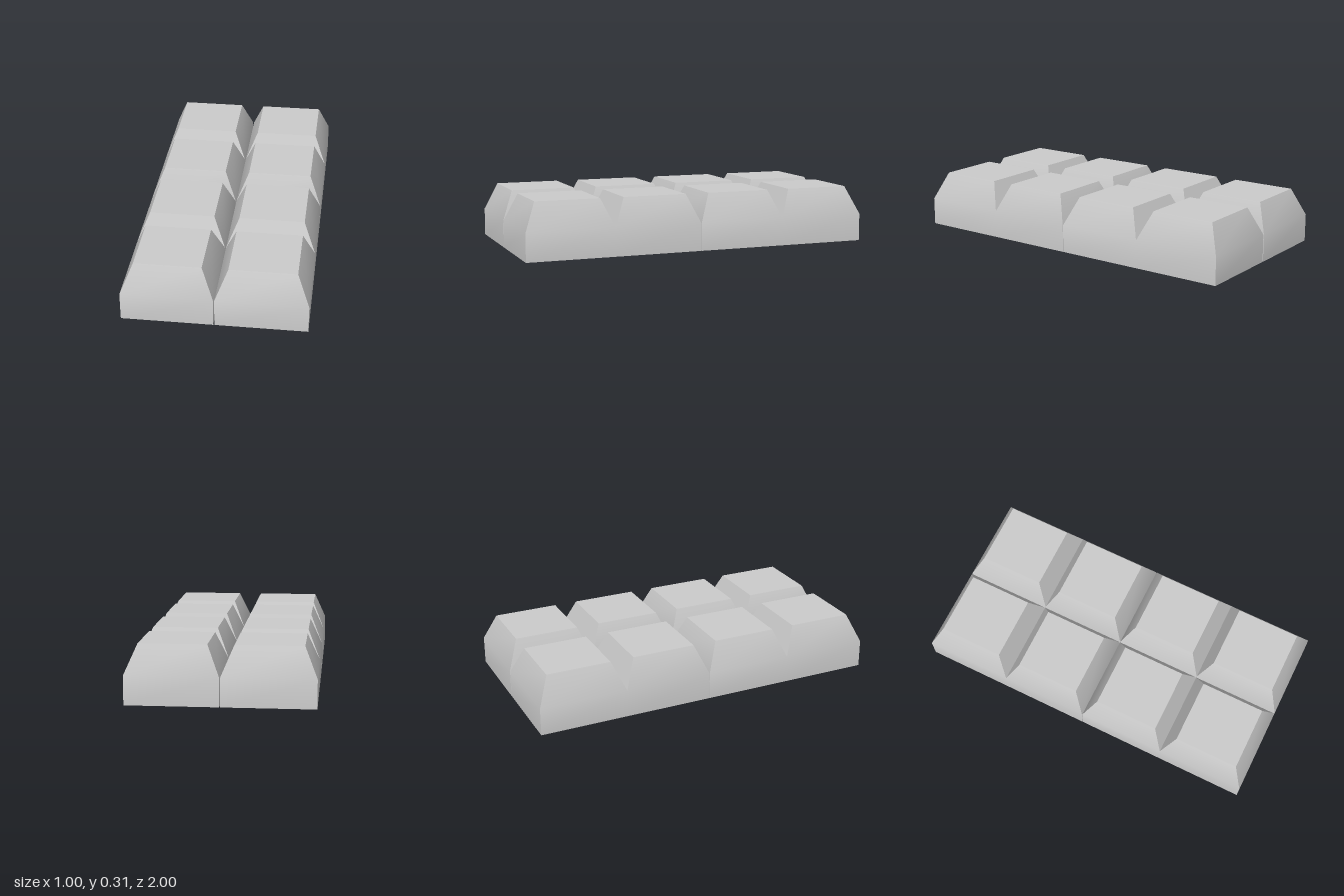
import * as THREE from 'three';
import { toCreasedNormals } from 'three/addons/utils/BufferGeometryUtils.js';

const SHOULDER = 0.157, TOP = 0.315, INSET = 0.067;
const GAP_X = 0.003, GAP_Z = 0.0015;

// Rectangle of corners at height y, anticlockwise seen from above, front-left first
function ring(x0, x1, z0, z1, y, inset = 0) {
  const a = x0 + inset, b = x1 - inset, c = z0 + inset, d = z1 - inset;
  return [[a, y, d], [b, y, d], [b, y, c], [a, y, c]];
}

// One bevelled square; joinedSide (0 front, 2 back) has no wall below its bevel
function addSquare(out, x0, x1, z0, z1, joinedSide) {
  const quad = (a, b, c, d) => out.push(...a, ...b, ...c, ...a, ...c, ...d);
  const base = ring(x0, x1, z0, z1, 0);
  const shoulder = ring(x0, x1, z0, z1, SHOULDER);
  const top = ring(x0, x1, z0, z1, TOP, INSET);
  for (let i = 0; i < 4; i++) {
    const j = (i + 1) % 4;
    if (i !== joinedSide) quad(base[i], base[j], shoulder[j], shoulder[i]);
    quad(shoulder[i], shoulder[j], top[j], top[i]);
  }
  quad(...top);
  quad(...base.slice().reverse());
}

// A bar piece: two squares joined along z, parted by a V groove
function barPiece(x0, x1, z0, zMid, z1, material) {
  const positions = [];
  addSquare(positions, x0, x1, z0, zMid, 0);
  addSquare(positions, x0, x1, zMid, z1, 2);
  const geometry = new THREE.BufferGeometry();
  geometry.setAttribute('position', new THREE.Float32BufferAttribute(positions, 3));
  return new THREE.Mesh(toCreasedNormals(geometry, Math.PI / 6), material);
}

export function createModel() {
  const group = new THREE.Group();
  group.name = 'segmentedBar';
  const material = new THREE.MeshStandardMaterial({ color: 0xcccccc });

  // Four pieces, two across and two deep, with hairline gaps between them
  for (const [xName, x0, x1] of [['Right', -0.5, -GAP_X], ['Left', GAP_X, 0.5]]) {
    for (const [zName, z0, zMid, z1] of [['back', -1, -0.5, -GAP_Z], ['front', GAP_Z, 0.5, 1]]) {
      const piece = barPiece(x0, x1, z0, zMid, z1, material);
      piece.name = `${zName}${xName}Piece`;
      group.add(piece);
    }
  }
  return group;
}
